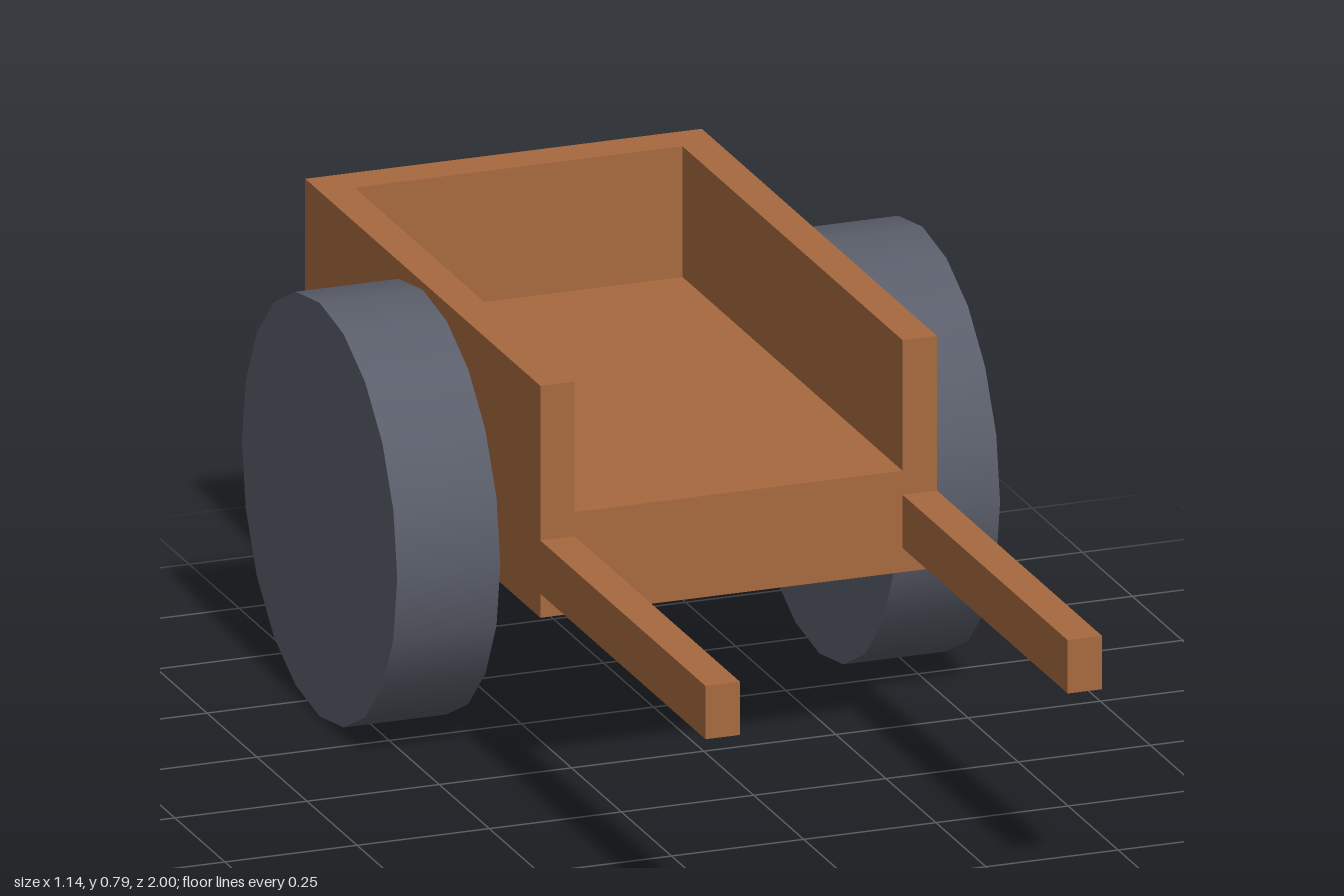
import * as THREE from 'three';

const WOOD = new THREE.MeshStandardMaterial({ color: 0xa8693f });
const TYRE = new THREE.MeshStandardMaterial({ color: 0x5a5e6a });

// Cart bed dimensions
const HALF = 0.375, INNER = 0.31;
const BACK = -1, FRONT = 0.175, BACK_INNER = -0.925;
const BOTTOM = 0.355, FLOOR = 0.545, TOP = 0.79;

function addMesh(parent, name, geometry, material, x = 0, y = 0, z = 0) {
  const mesh = new THREE.Mesh(geometry, material);
  mesh.name = name;
  mesh.position.set(x, y, z);
  parent.add(mesh);
  return mesh;
}

export function createModel() {
  const cart = new THREE.Group();
  cart.name = 'handCart';

  // Thick floor slab
  addMesh(cart, 'floor', new THREE.BoxGeometry(HALF * 2, FLOOR - BOTTOM, FRONT - BACK),
    WOOD, 0, (BOTTOM + FLOOR) / 2, (BACK + FRONT) / 2);

  // U-shaped wall, open at the front; plan outline uses y = -z
  const plan = new THREE.Shape([
    [-HALF, -FRONT], [-INNER, -FRONT], [-INNER, -BACK_INNER], [INNER, -BACK_INNER],
    [INNER, -FRONT], [HALF, -FRONT], [HALF, -BACK], [-HALF, -BACK],
  ].map(([x, y]) => new THREE.Vector2(x, y)));
  const walls = new THREE.ExtrudeGeometry(plan, { depth: TOP - FLOOR, bevelEnabled: false });
  walls.rotateX(-Math.PI / 2);
  addMesh(cart, 'walls', walls, WOOD, 0, FLOOR, 0);

  // Wheel and pulling handle on each side
  const wheelGeometry = new THREE.CylinderGeometry(0.388, 0.388, 0.195, 20);
  wheelGeometry.rotateZ(Math.PI / 2);
  const handleGeometry = new THREE.BoxGeometry(HALF - INNER, 0.1, 1 - FRONT);
  for (const [side, s] of [['left', 1], ['right', -1]]) {
    addMesh(cart, side + 'Wheel', wheelGeometry, TYRE, s * (HALF + 0.0975), 0.388, -0.413);
    addMesh(cart, side + 'Handle', handleGeometry, WOOD,
      s * (HALF + INNER) / 2, 0.45, (1 + FRONT) / 2);
  }
  return cart;
}
